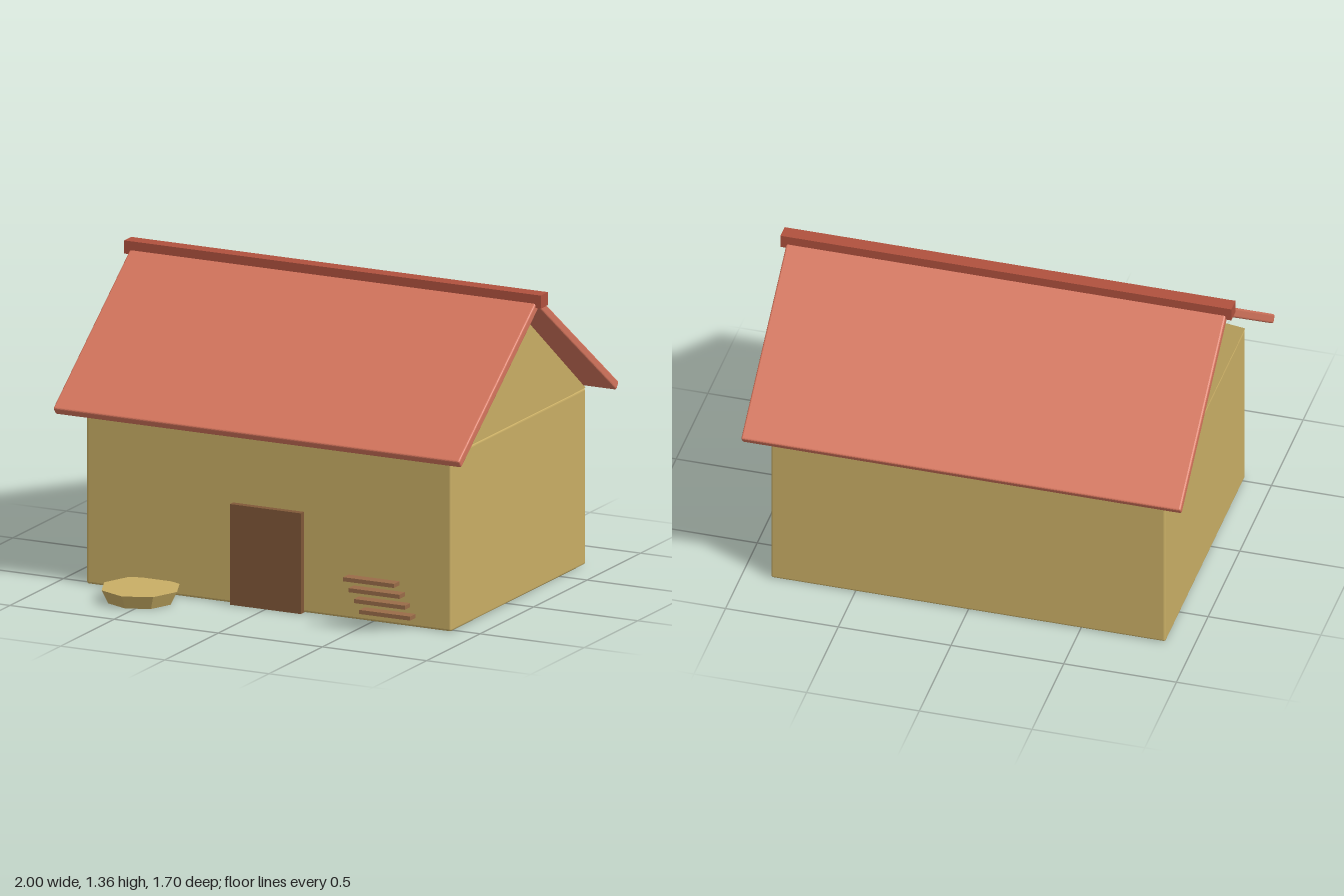
import * as THREE from 'three';
import { RoundedBoxGeometry } from 'three/addons/geometries/RoundedBoxGeometry.js';

const MID_Z = -0.1; // centre line of the house

function material(color) {
  return new THREE.MeshStandardMaterial({ color, flatShading: true });
}

export function createModel() {
  const house = new THREE.Group();
  house.name = 'house';
  const plaster = material(0xc9ae65);
  const tile = material(0xd5755d);
  const ridgeTile = material(0xb0513e);
  const doorWood = material(0x805838);
  const stepWood = material(0x9a6c48);

  const add = (name, geometry, mat, x, y, z) => {
    const mesh = new THREE.Mesh(geometry, mat);
    mesh.name = name;
    mesh.position.set(x, y, z);
    house.add(mesh);
    return mesh;
  };
  const box = (w, h, d) => new THREE.BoxGeometry(w, h, d);

  // Walls with slightly softened edges
  add('walls', new RoundedBoxGeometry(1.75, 0.78, 1.26, 2, 0.01), plaster, 0, 0.39, MID_Z);

  // Gable prism running the length of the house
  const triangle = new THREE.Shape();
  triangle.moveTo(-0.63, 0);
  triangle.lineTo(0.63, 0);
  triangle.lineTo(0, 0.49);
  triangle.closePath();
  const prism = new THREE.ExtrudeGeometry(triangle, { depth: 1.75, bevelEnabled: false });
  prism.translate(0, 0, -0.875).rotateY(Math.PI / 2);
  add('gable', prism, plaster, 0, 0.78, MID_Z);

  // Two sloping roof panels, mirrored about the ridge
  const pitch = Math.atan2(0.545, 0.737);
  for (const side of [1, -1]) {
    const panel = add(side > 0 ? 'frontRoofPanel' : 'backRoofPanel',
      new RoundedBoxGeometry(1.95, 0.04, 0.917, 2, 0.008), tile,
      0, 1.0475, MID_Z + side * 0.3685);
    panel.rotation.x = side * pitch;
  }

  // Ridge cap
  add('ridgeCap', box(2, 0.058, 0.066), ridgeTile, 0, 1.331, MID_Z);

  // Door
  add('door', box(0.34, 0.445, 0.05), doorWood, 0, 0.2225, 0.535);

  // Floating steps, rising away from the wall
  for (let i = 0; i < 4; i++) {
    add('step' + (i + 1), box(0.245, 0.018, 0.05), stepWood,
      0.583, 0.05 + i * 0.06, 0.555 + i * 0.05);
  }

  // Eight-sided slab beside the door, tapering to its foot
  add('stoneSlab', new THREE.CylinderGeometry(0.175, 0.145, 0.06, 8), plaster, -0.54, 0.03, 0.675);

  return house;
}
